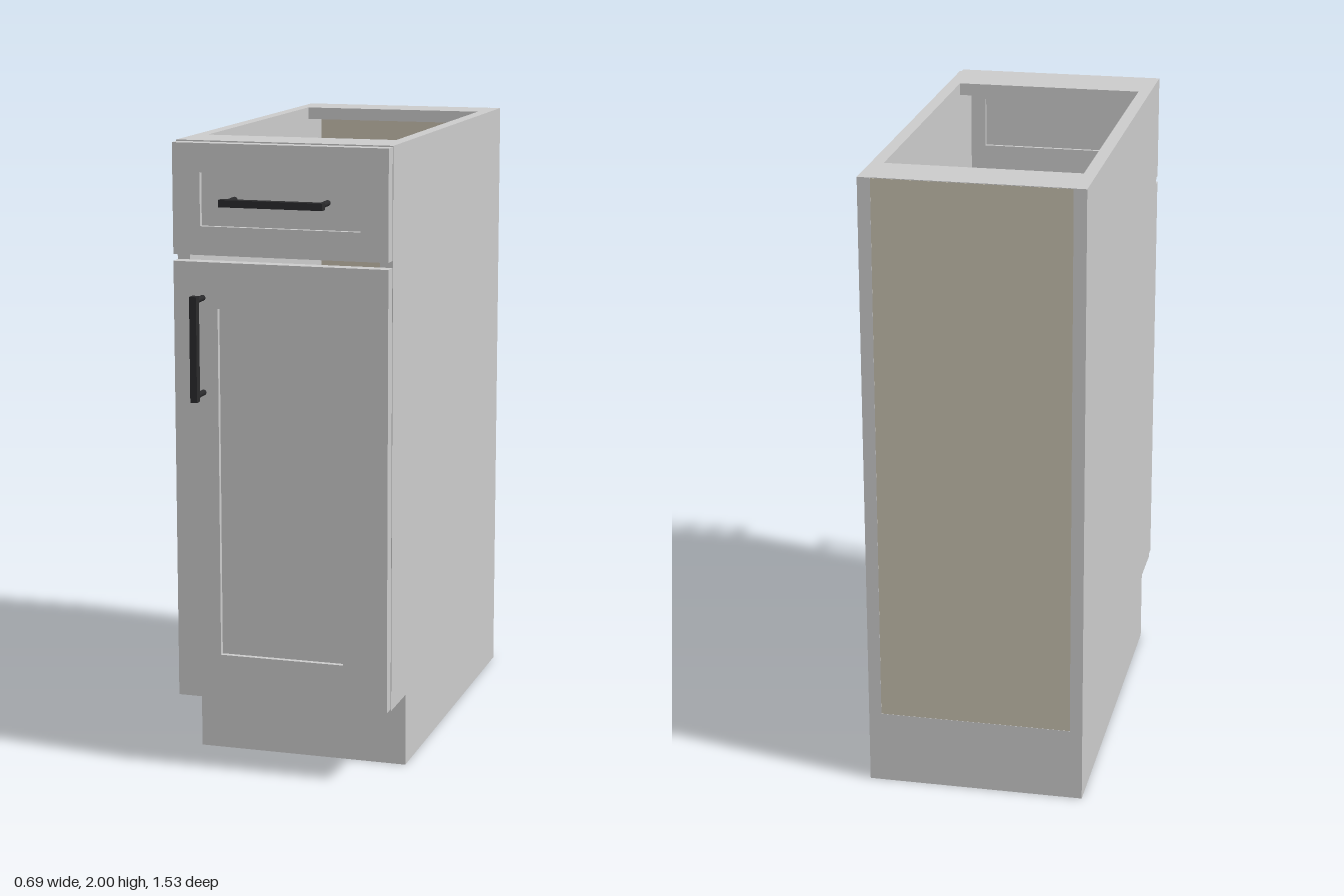
import * as THREE from 'three';

const grey = new THREE.MeshStandardMaterial({ color: 0xcccccc });
const beige = new THREE.MeshStandardMaterial({ color: 0xc6bfae });
const black = new THREE.MeshStandardMaterial({ color: 0x2a2a2c });

// Box given by its extents on each axis
function box(parent, name, [x0, x1], [y0, y1], [z0, z1], material = grey) {
  const mesh = new THREE.Mesh(new THREE.BoxGeometry(x1 - x0, y1 - y0, z1 - z0), material);
  mesh.position.set((x0 + x1) / 2, (y0 + y1) / 2, (z0 + z1) / 2);
  mesh.name = name;
  parent.add(mesh);
  return mesh;
}

// Framed front: two stiles, two rails and a recessed centre panel
function shakerFront(name, y0, y1, stile, rail) {
  const g = new THREE.Group();
  g.name = name;
  const w = 0.343, xi = w - stile, z = [0.628, 0.672];
  box(g, 'leftStile', [xi, w], [y0, y1], z);
  box(g, 'rightStile', [-w, -xi], [y0, y1], z);
  box(g, 'topRail', [-xi, xi], [y1 - rail, y1], z);
  box(g, 'bottomRail', [-xi, xi], [y0, y0 + rail], z);
  box(g, 'centrePanel', [-xi, xi], [y0 + rail, y1 - rail], [0.64, 0.655]);
  return g;
}

// Bar pull built along x, with two round posts reaching back to zBack
function barPull(name, zBack) {
  const g = new THREE.Group();
  g.name = name;
  box(g, 'bar', [-0.164, 0.164], [-0.011, 0.011], [0.736, 0.764], black);
  for (const x of [-0.148, 0.148]) {
    const post = new THREE.Mesh(new THREE.CylinderGeometry(0.009, 0.009, 0.74 - zBack, 16), black);
    post.rotation.x = Math.PI / 2;
    post.position.set(x, 0, (0.74 + zBack) / 2);
    post.name = 'post';
    g.add(post);
  }
  return g;
}

export function createModel() {
  const model = new THREE.Group();
  model.name = 'baseCabinet';

  // Carcass, open at the top between two stretchers
  const carcass = new THREE.Group();
  carcass.name = 'carcass';
  model.add(carcass);
  const inner = [-0.305, 0.305];
  box(carcass, 'plinth', [-0.345, 0.345], [0, 0.235], [-0.764, 0.456]);
  box(carcass, 'leftSide', [0.305, 0.345], [0.235, 2], [-0.764, 0.628]);
  box(carcass, 'rightSide', [-0.345, -0.305], [0.235, 2], [-0.764, 0.628]);
  box(carcass, 'floor', inner, [0.235, 0.275], [-0.752, 0.628], beige);
  box(carcass, 'backPanel', inner, [0.235, 1.998], [-0.763, -0.752], beige);
  box(carcass, 'backStretcher', inner, [1.96, 2], [-0.762, -0.595]);
  box(carcass, 'frontStretcher', inner, [1.96, 2], [0.452, 0.628]);

  // Drawer front and door
  model.add(shakerFront('drawerFront', 1.653, 1.996, 0.088, 0.089));
  model.add(shakerFront('door', 0.24, 1.632, 0.142, 0.143));

  // Handles
  const drawerPull = barPull('drawerHandle', 0.655);
  drawerPull.position.y = 1.825;
  const doorPull = barPull('doorHandle', 0.672);
  doorPull.rotation.z = Math.PI / 2;
  doorPull.position.set(-0.249, 1.373, 0);
  model.add(drawerPull, doorPull);

  return model;
}
